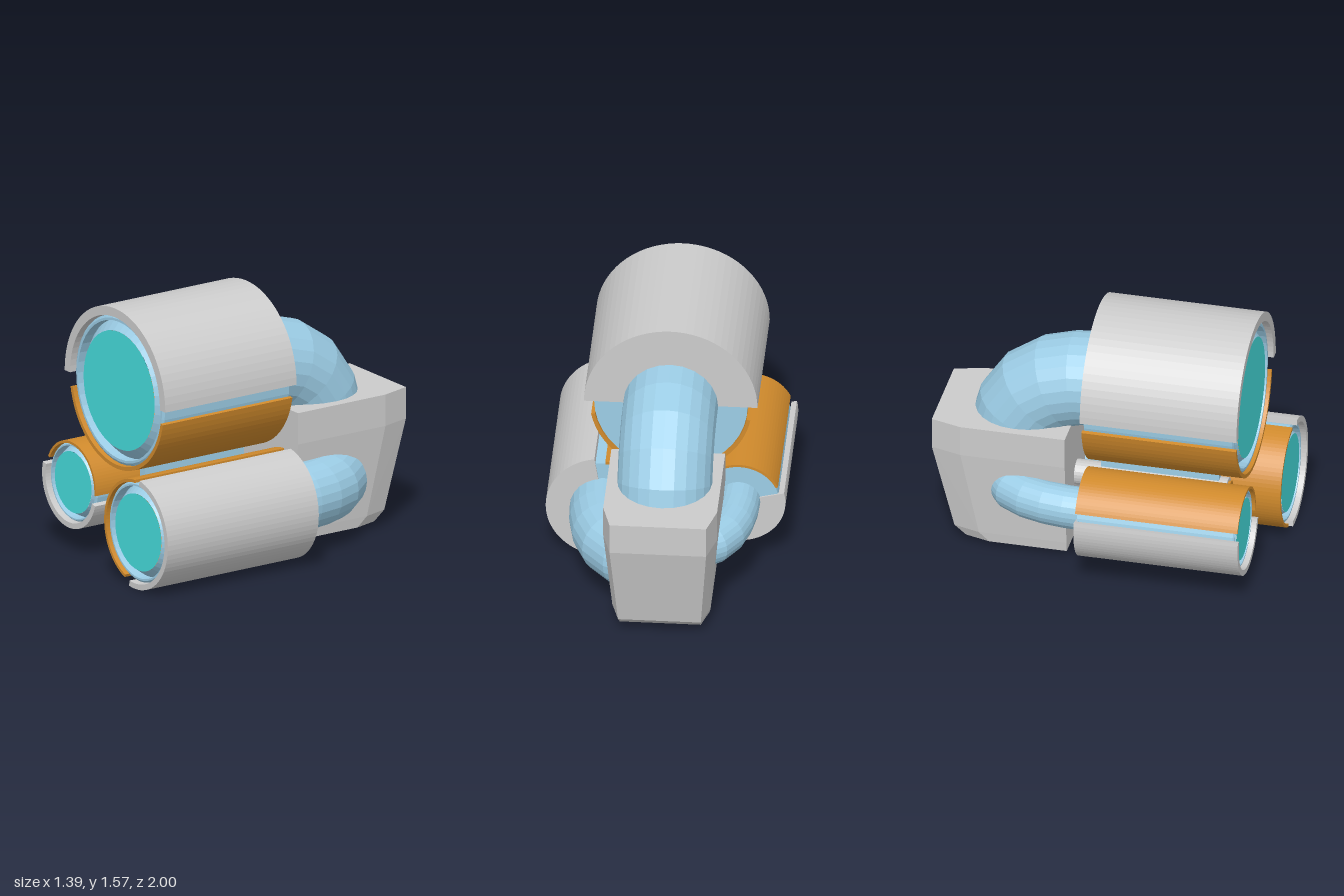
import * as THREE from 'three';
import { ConvexGeometry } from 'three/addons/geometries/ConvexGeometry.js';

const material = (color) => new THREE.MeshStandardMaterial({ color, flatShading: true });
const grey = material(0xcccccc);
const blue = material(0x9ccde6);
const orange = material(0xd08a2c);
const cyan = material(0x46dcdc);

function add(parent, name, geometry, mat, x = 0, y = 0, z = 0) {
  const mesh = new THREE.Mesh(geometry, mat);
  mesh.name = name;
  mesh.position.set(x, y, z);
  parent.add(mesh);
  return mesh;
}

// Ring sector between two angles (degrees), extruded along z
function sector(inner, outer, from, to, z0, z1) {
  const a = THREE.MathUtils.degToRad(from);
  const b = THREE.MathUtils.degToRad(to);
  const shape = new THREE.Shape();
  shape.absarc(0, 0, outer, a, b, false);
  shape.absarc(0, 0, inner, b, a, true);
  shape.closePath();
  const geometry = new THREE.ExtrudeGeometry(shape, {
    depth: z1 - z0, bevelEnabled: false, curveSegments: 18,
  });
  return geometry.translate(0, 0, z0);
}

const BACK = -0.07;

// One barrel: body with grooved rim, lens, two half shells and a rear elbow pipe
function barrel(s) {
  const group = new THREE.Group();
  group.name = s.name;
  group.position.set(s.x, s.y, 0);
  const rim = s.front - 0.03;
  const wall = s.r - s.lens;

  const profile = [
    [0, BACK + 0.01], [s.r, BACK + 0.01], [s.r, rim - 0.01],
    [s.r - wall * 0.17, rim], [s.r - wall * 0.33, rim],
    [s.r - wall * 0.35, rim - 0.06], [s.lens, rim],
  ].map(([r, z]) => new THREE.Vector2(r, z));
  add(group, 'barrelBody', new THREE.LatheGeometry(profile, 40).rotateX(Math.PI / 2), blue);
  add(group, 'lens', new THREE.CircleGeometry(s.lens, 40), cyan, 0, 0, rim + 0.001);

  add(group, 'outerShell', sector(s.r + 0.004, s.outer, ...s.greyArc, BACK, s.front), grey);
  add(group, 'shellBackPlate',
    sector(s.pipe * 0.9, s.r + 0.004, ...s.greyArc, BACK, BACK + 0.02), grey);
  add(group, 'innerShell',
    sector(s.r + 0.002, s.orangeOuter, ...s.orangeArc, BACK, s.front - 0.012), orange);

  const bend = new THREE.QuadraticBezierCurve3(
    new THREE.Vector3(0, 0, BACK + 0.02),
    new THREE.Vector3(0, 0, s.bendZ),
    new THREE.Vector3(...s.pipeEnd),
  );
  add(group, 'elbowPipe', new THREE.TubeGeometry(bend, 5, s.pipe, 24), blue);
  return group;
}

export function createModel() {
  const model = new THREE.Group();
  model.name = 'tripleBarrelCluster';

  model.add(barrel({
    name: 'upperBarrel', x: -0.03, y: 1.07, r: 0.445, lens: 0.355,
    outer: 0.503, orangeOuter: 0.47, front: 0.86,
    greyArc: [0, 180], orangeArc: [191, 349],
    pipe: 0.275, bendZ: -0.5, pipeEnd: [0, -0.38, -0.555],
  }));
  model.add(barrel({
    name: 'lowerLeftBarrel', x: 0.36, y: 0.336, r: 0.298, lens: 0.23,
    outer: 0.335, orangeOuter: 0.318, front: 1,
    greyArc: [-99, 81], orangeArc: [92, 249],
    pipe: 0.197, bendZ: -0.5, pipeEnd: [-0.28, 0, -0.585],
  }));
  model.add(barrel({
    name: 'lowerRightBarrel', x: -0.425, y: 0.42, r: 0.233, lens: 0.184,
    outer: 0.27, orangeOuter: 0.25, front: 0.905,
    greyArc: [166, 344], orangeArc: [-4, 155],
    pipe: 0.125, bendZ: -0.5, pipeEnd: [0.22, 0, -0.585],
  }));

  // Rear housing: tapers toward the bottom and back
  const corners = [];
  const levels = [
    // y, half width, rear half width, side corner z, rear z
    [0.83, 0.33, 0.28, -0.82, -1],
    [0.64, 0.33, 0.28, -0.82, -1],
    [0.1, 0.285, 0.24, -0.72, -0.875],
    [0.04, 0.277, 0.235, -0.66, -0.807],
  ];
  for (const [y, w, wRear, zSide, zRear] of levels) {
    for (const side of [-1, 1]) {
      corners.push(
        new THREE.Vector3(side * w, y, -0.2),
        new THREE.Vector3(side * w, y, zSide),
        new THREE.Vector3(side * wRear, y, zRear),
      );
    }
  }
  add(model, 'rearHousing', new ConvexGeometry(corners), grey, -0.026, 0, 0);

  // Central rod with a coloured tip
  const hub = new THREE.Group();
  hub.name = 'centralHub';
  hub.position.set(-0.05, 0.43, 0);
  model.add(hub);
  const rod = (r, len) => new THREE.CylinderGeometry(r, r, len, 24).rotateX(Math.PI / 2);
  add(hub, 'hubRod', rod(0.075, 0.9), grey, 0, 0, 0.25);
  add(hub, 'hubTip', rod(0.057, 0.02), orange, 0, 0, 0.705);

  // Fins joining the rod to each barrel
  for (const [angle, length] of [[90, 0.2], [188, 0.16], [-14, 0.13]]) {
    const fin = new THREE.BoxGeometry(length, 0.05, 0.7).translate(length / 2, 0, 0.3);
    add(hub, 'hubFin', fin, blue).rotation.z = THREE.MathUtils.degToRad(angle);
  }
  return model;
}
